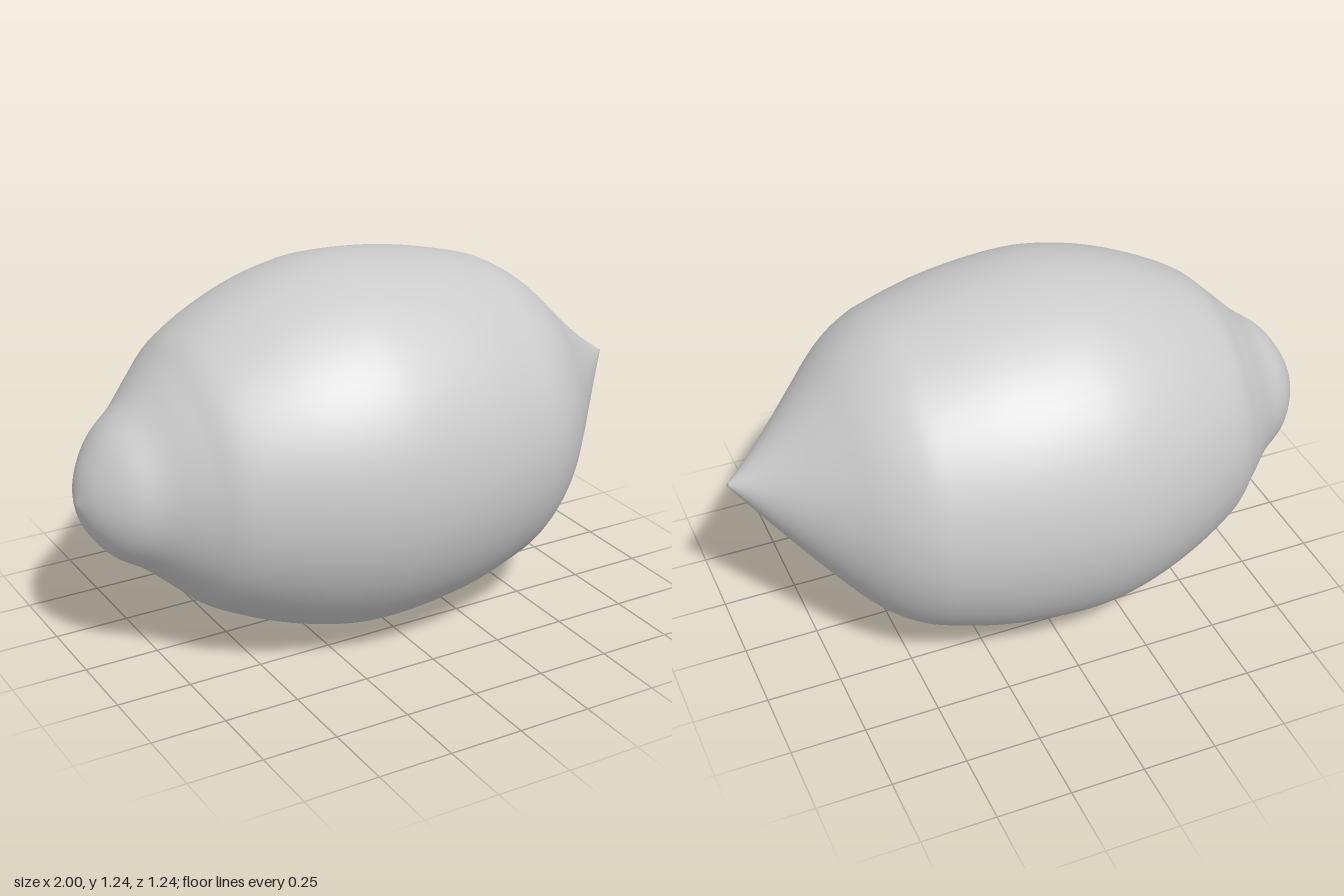
import * as THREE from 'three';
import { mergeVertices } from 'three/addons/utils/BufferGeometryUtils.js';

export function createModel() {
  const group = new THREE.Group();
  group.name = 'lemon';
  const skin = new THREE.MeshStandardMaterial({ color: 0xcccccc });
  skin.name = 'pale grey skin';

  // Profile: radius, position along the long axis (stem end to pointed tip)
  const profile = [
    [0, -1], [0.1, -0.97], [0.2, -0.9], [0.275, -0.8], [0.37, -0.7], [0.455, -0.6],
    [0.55, -0.4], [0.606, -0.2], [0.618, -0.03], [0.596, 0.2], [0.547, 0.4],
    [0.507, 0.5], [0.435, 0.6], [0.33, 0.7], [0.218, 0.8], [0.107, 0.9], [0, 1],
  ].map(([r, a]) => new THREE.Vector2(r, a));
  const points = new THREE.SplineCurve(profile).getPoints(96);
  points.forEach((p) => { p.x = Math.max(p.x, 0); });

  // Lay the body along x
  let geometry = new THREE.LatheGeometry(points, 64);
  geometry.rotateZ(-Math.PI / 2);

  // Bend the ends: stem end slightly down, tip up
  const centre = (x) => 0.62 + (x > 0 ? 0.1 * x ** 4 : -0.035 * x ** 4);
  const pos = geometry.attributes.position;
  for (let i = 0; i < pos.count; i++) {
    pos.setY(i, pos.getY(i) + centre(pos.getX(i)));
  }

  // Weld the seam for smooth normals
  geometry.deleteAttribute('uv');
  geometry.deleteAttribute('normal');
  geometry = mergeVertices(geometry, 1e-5);
  geometry.computeVertexNormals();

  const body = new THREE.Mesh(geometry, skin);
  body.name = 'lemonBody';
  group.add(body);
  return group;
}
